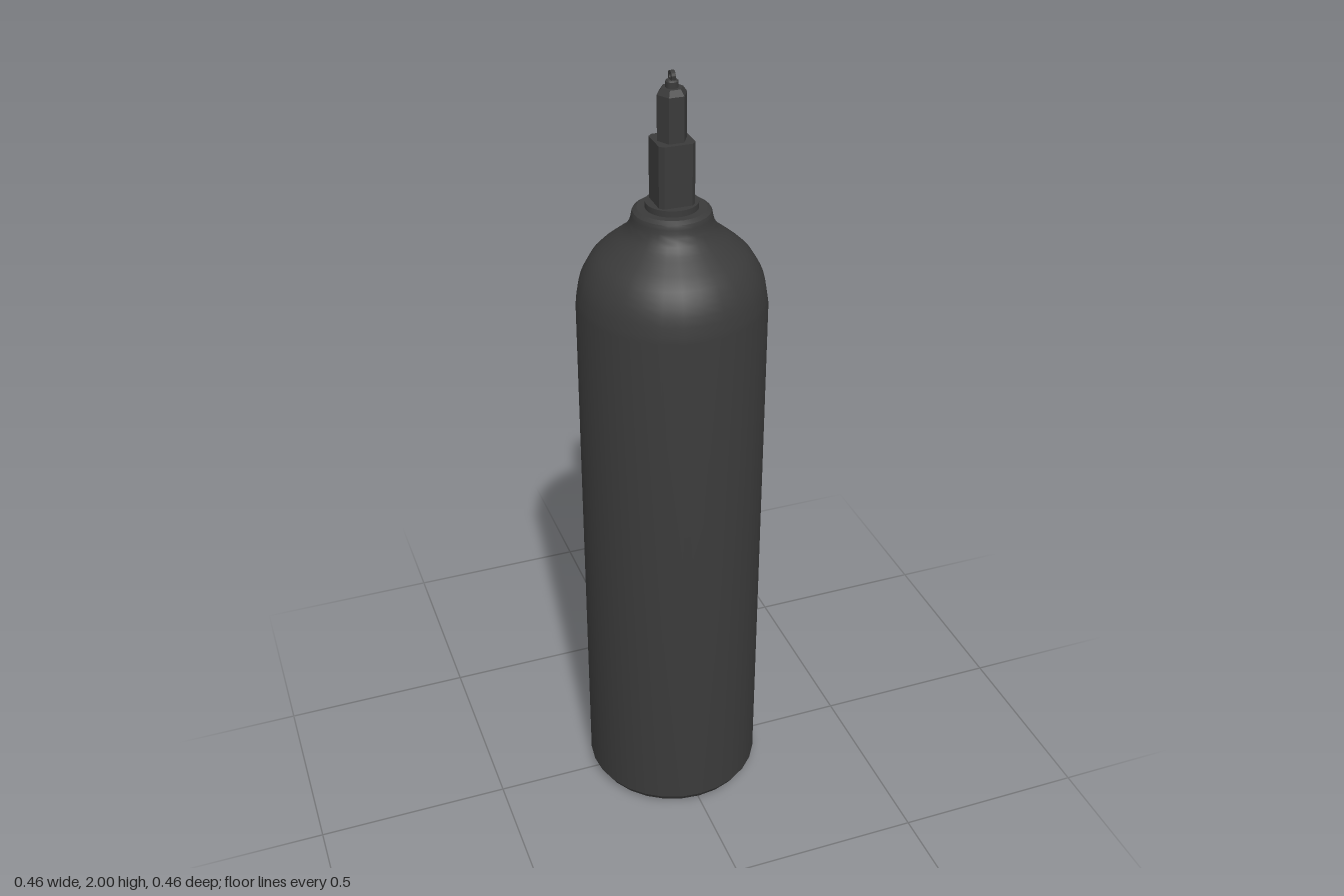
import * as THREE from 'three';
import { toCreasedNormals } from 'three/addons/utils/BufferGeometryUtils.js';

const material = new THREE.MeshStandardMaterial({ color: 0x3a3a3a });
const V = (x, y) => new THREE.Vector2(x, y);

function add(group, name, geometry, crease = 0.5) {
  const mesh = new THREE.Mesh(toCreasedNormals(geometry, crease), material);
  mesh.name = name;
  group.add(mesh);
  return mesh;
}

const lathe = (points, sides) => new THREE.LatheGeometry(points.map(([r, y]) => V(r, y)), sides);

const circleHole = (x, y, r) => new THREE.Path().absarc(x, y, r, 0, Math.PI * 2, true);

const extrude = (shape, depth) =>
  new THREE.ExtrudeGeometry(shape, { depth, bevelEnabled: false, curveSegments: 20 });

export function createModel() {
  const model = new THREE.Group();
  model.name = 'gasCylinder';

  // Bottle: chamfered foot, straight wall, rounded shoulder flowing into the neck
  const shoulder = new THREE.SplineCurve([
    V(0.23, 1.44), V(0.218, 1.5), V(0.19, 1.552), V(0.15, 1.588),
    V(0.117, 1.615), V(0.1, 1.64), V(0.094, 1.665),
  ]).getPoints(18).map((p) => [p.x, p.y]);
  add(model, 'bottle', lathe([
    [0, 0], [0.2, 0], [0.219, 0.01], [0.23, 0.028], ...shoulder,
    [0.092, 1.67], [0.082, 1.677], [0, 1.677],
  ], 28));

  // Valve seat: thin flange on top of the neck
  add(model, 'valveFlange', lathe([
    [0, 1.672], [0.063, 1.672], [0.063, 1.692], [0, 1.692],
  ], 28));

  // Valve block: chamfered square plan with a recess on the left for the port plate
  const w = 0.044, c = 0.034;
  const plan = new THREE.Shape([
    V(c, w), V(-c, w), V(-w, c), V(-w, -c), V(-c, -w), V(c, -w),
    V(w, -c), V(c, -c), V(c, c), V(w, c),
  ]);
  const block = extrude(plan, 0.153);
  block.rotateX(-Math.PI / 2).translate(0, 1.688, 0);
  add(model, 'valveBlock', block);

  // Port plate: fills the recess and leaves a round outlet
  const plate = new THREE.Shape([V(-c, 1.688), V(c, 1.688), V(c, 1.841), V(-c, 1.841)]);
  plate.holes.push(circleHole(0, 1.74, 0.027));
  const port = extrude(plate, w - c);
  port.rotateY(Math.PI / 2).translate(c, 0, 0);
  add(model, 'outletPort', port);

  // Hexagonal stem with a chamfered top, corners on the x axis
  const stem = lathe([
    [0, 1.838], [0.036, 1.838], [0.036, 1.948], [0.026, 1.962], [0, 1.962],
  ], 6);
  stem.rotateY(Math.PI / 6 * 3);
  add(model, 'hexStem', stem);

  // Pin and its eyelet
  add(model, 'pin', lathe([
    [0, 1.96], [0.015, 1.96], [0.015, 1.976], [0.011, 1.98], [0, 1.98],
  ], 20));
  const eye = new THREE.Shape().absarc(0, 1.987, 0.013, 0, Math.PI * 2);
  eye.holes.push(circleHole(0, 1.988, 0.006));
  const eyelet = extrude(eye, 0.01);
  eyelet.rotateY(Math.PI / 2).translate(-0.005, 0, 0);
  add(model, 'eyelet', eyelet);

  return model;
}
